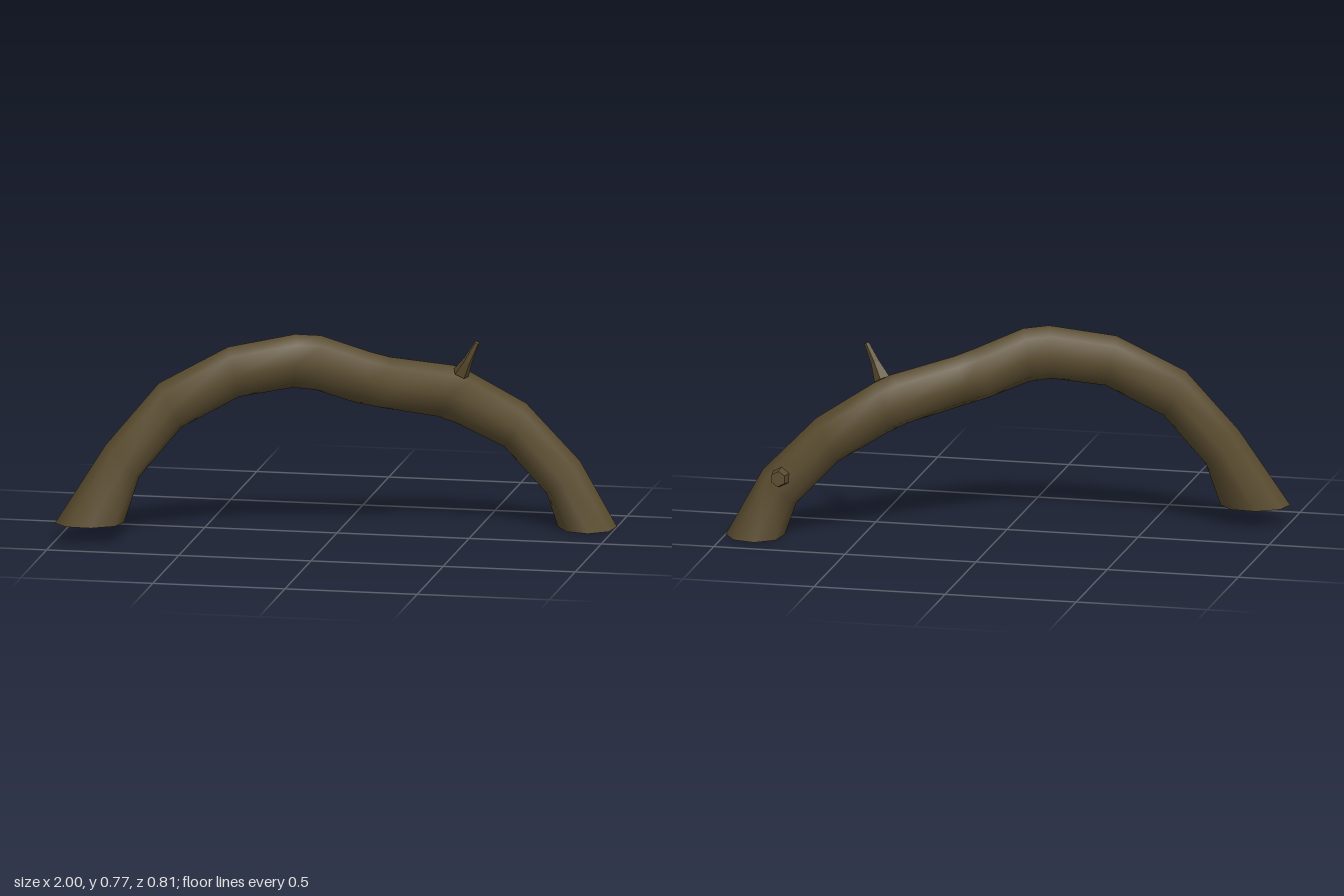
import * as THREE from 'three';

// Skin a list of rings (each a list of points, counter-clockwise about the path).
function loft(rings, capEnds) {
  const n = rings[0].length, pos = [], index = [];
  rings.forEach(r => r.forEach(p => pos.push(p.x, p.y, p.z)));
  for (let i = 0; i < rings.length - 1; i++) {
    for (let j = 0; j < n; j++) {
      const a = i * n + j, b = i * n + (j + 1) % n;
      index.push(a, b, a + n, b, b + n, a + n);
    }
  }
  if (capEnds) {
    const last = (rings.length - 1) * n;
    for (let j = 1; j < n - 1; j++) {
      index.push(0, j + 1, j);
      index.push(last, last + j, last + j + 1);
    }
  }
  const g = new THREE.BufferGeometry();
  g.setAttribute('position', new THREE.Float32BufferAttribute(pos, 3));
  g.setIndex(index);
  return g;
}

// Ring around centre c with half axes u and s.
function ring(c, u, s, sides, phase = 0) {
  return Array.from({ length: sides }, (_, j) => {
    const a = (j / sides) * Math.PI * 2 + phase;
    return c.clone().addScaledVector(u, Math.cos(a)).addScaledVector(s, Math.sin(a));
  });
}

// Faceted twig through [x, y, z, radius] stations.
function twig(stations, sides, phase) {
  const pts = stations.map(([x, y, z]) => new THREE.Vector3(x, y, z));
  const t = pts[pts.length - 1].clone().sub(pts[0]).normalize();
  const u = new THREE.Vector3(1, 0, 0).addScaledVector(t, -t.x).normalize();
  const s = t.clone().cross(u);
  const rings = pts.map((p, i) => {
    const r = stations[i][3];
    return ring(p, u.clone().multiplyScalar(r), s.clone().multiplyScalar(r), sides, phase);
  });
  const g = loft(rings, true).toNonIndexed();
  g.computeVertexNormals();
  return g;
}

export function createModel() {
  const group = new THREE.Group();
  const bark = new THREE.MeshStandardMaterial({ color: 0x5a4c2f, side: THREE.DoubleSide });
  bark.name = 'bark';
  const add = (name, geometry) => {
    const m = new THREE.Mesh(geometry, bark);
    m.name = name;
    group.add(m);
  };

  // Arched trunk: outer x, y, inner x, y, centre z, heading dz/dx, side half width
  const trunk = [
    [-1.00, 0.068, -0.75, 0.068, 0.31, -0.25, 0.098],
    [-0.82, 0.36, -0.70, 0.235, 0.26, -0.27, 0.08],
    [-0.63, 0.59, -0.55, 0.42, 0.21, -0.25, 0.077],
    [-0.38, 0.725, -0.34, 0.535, 0.155, -0.26, 0.077],
    [-0.14, 0.768, -0.15, 0.565, 0.09, -0.32, 0.077],
    [-0.05, 0.76, -0.07, 0.555, 0.06, -0.38, 0.077],
    [0.12, 0.69, 0.07, 0.50, -0.005, -0.48, 0.077],
    [0.19, 0.665, 0.16, 0.475, -0.045, -0.55, 0.077],
    [0.40, 0.615, 0.345, 0.425, -0.17, -0.55, 0.078],
    [0.455, 0.59, 0.41, 0.395, -0.205, -0.48, 0.078],
    [0.66, 0.46, 0.58, 0.295, -0.278, -0.2, 0.08],
    [0.865, 0.25, 0.74, 0.125, -0.275, -0.1, 0.08],
    [1.00, 0, 0.785, 0, -0.285, -0.2, 0.124],
  ];
  const rings = trunk.map(([ox, oy, ix, iy, z, slope, w]) => {
    const ux = (ox - ix) / 2;
    const c = new THREE.Vector3((ox + ix) / 2, (oy + iy) / 2, z);
    const u = new THREE.Vector3(ux, (oy - iy) / 2, ux * slope);
    const s = new THREE.Vector3(-slope, 0, 1).normalize().multiplyScalar(w);
    return ring(c, u, s, 8);
  });
  const trunkGeometry = loft(rings, false);
  trunkGeometry.computeVertexNormals();
  add('archedTrunk', trunkGeometry);

  // Thin twig on top and cut stub at the back
  add('twig', twig([
    [0.438, 0.59, -0.157, 0.032],
    [0.468, 0.645, -0.138, 0.018],
    [0.505, 0.717, -0.128, 0.01],
  ], 5, 0.3));
  add('branchStub', twig([
    [0.78, 0.24, -0.33, 0.039],
    [0.78, 0.245, -0.395, 0.029],
  ], 6, 0.5));

  return group;
}
